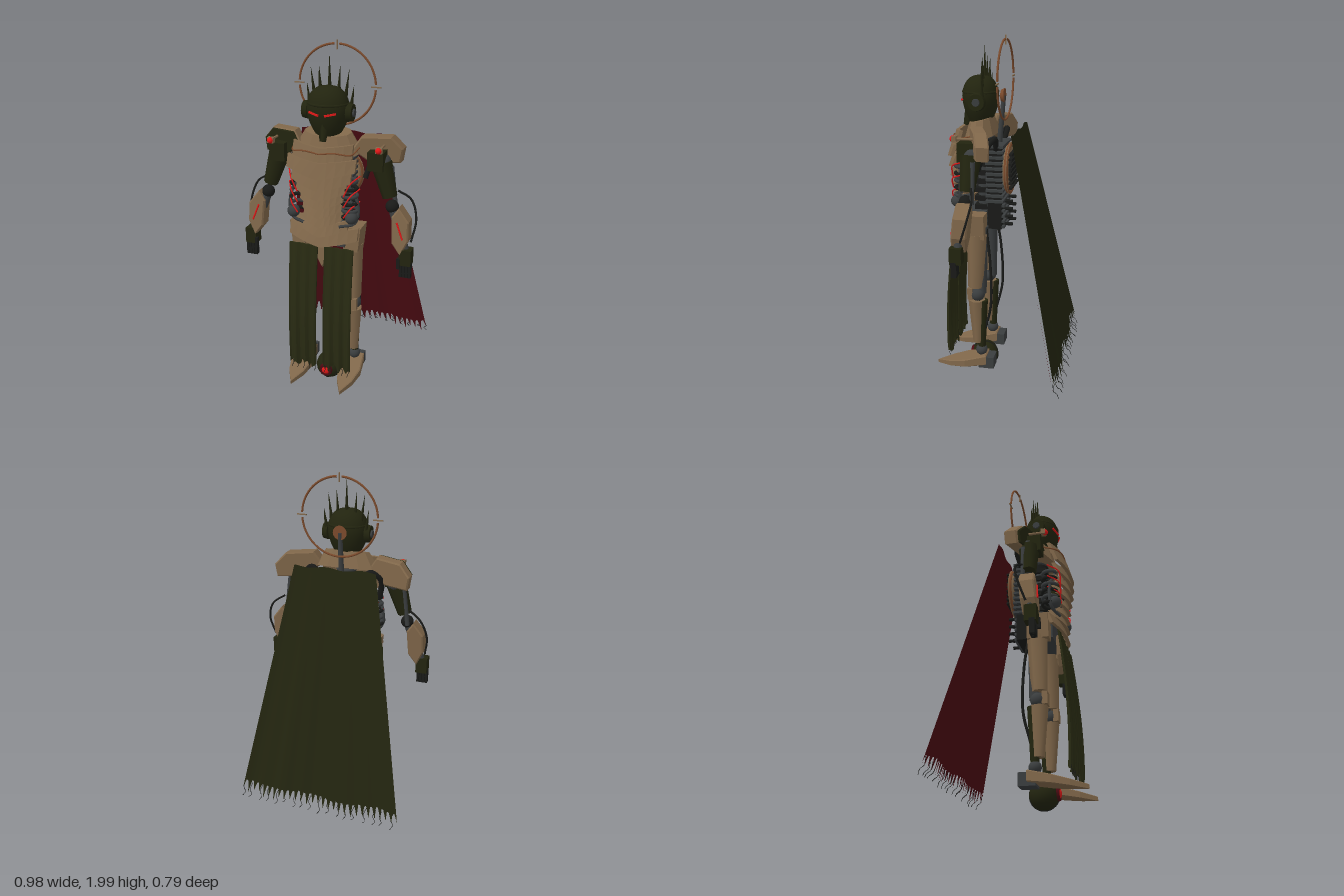
import * as THREE from 'three';

const mat = (name, color, side = THREE.FrontSide) => {
  const m = new THREE.MeshStandardMaterial({ color, side });
  m.name = name;
  return m;
};
const V = (x, y, z) => new THREE.Vector3(x, y, z);

export function createModel() {
  const bone = mat('bone armour', 0x80674a), olive = mat('dark olive', 0x22240f);
  const cloth = mat('olive cloth', 0x282a12), crimson = mat('crimson lining', 0x4a0b12);
  const steel = mat('steel grey', 0x3a3d3e), black = mat('black rubber', 0x191a18);
  const red = mat('glowing red', 0xe01818), copper = mat('copper', 0x7a4a2c);
  const root = new THREE.Group();

  let seed = 7;
  const rand = () => (seed = (seed * 16807) % 2147483647) / 2147483647;

  const add = (name, geo, m, x = 0, y = 0, z = 0, rx = 0, ry = 0, rz = 0) => {
    const o = new THREE.Mesh(geo, m);
    o.name = name;
    o.position.set(x, y, z);
    o.rotation.set(rx, ry, rz);
    root.add(o);
    return o;
  };
  const box = (w, h, d) => new THREE.BoxGeometry(w, h, d);
  const cyl = (a, b, h, n = 16) => new THREE.CylinderGeometry(a, b, h, n);
  const ball = (r) => new THREE.SphereGeometry(r, 20, 14);
  // Moves vertices by a rule and facets the result
  const warp = (geo, rule) => {
    const p = geo.attributes.position, v = V(0, 0, 0);
    for (let i = 0; i < p.count; i++) {
      rule(v.fromBufferAttribute(p, i));
      p.setXYZ(i, v.x, v.y, v.z);
    }
    const g = geo.index ? geo.toNonIndexed() : geo;
    g.computeVertexNormals();
    return g;
  };
  // Tapered rod between two points
  const rod = (name, a, b, ra, rb, m, n = 10) => {
    const d = b.clone().sub(a), o = add(name, cyl(rb, ra, d.length(), n), m);
    o.position.copy(a).addScaledVector(d, 0.5);
    o.quaternion.setFromUnitVectors(V(0, 1, 0), d.normalize());
    return o;
  };
  const hose = (name, pts, r, m, seg = 20) => add(name,
    new THREE.TubeGeometry(new THREE.CatmullRomCurve3(pts.map((p) => V(...p))), seg, r, 6), m);
  const slab = (pts, s, depth, bevel = 0.008) => new THREE.ExtrudeGeometry(
    new THREE.Shape(pts.map(([x, y]) => new THREE.Vector2(x * s, y))),
    { depth, bevelEnabled: bevel > 0, bevelSize: bevel, bevelThickness: bevel, bevelSegments: 1 });

  // Cape: crimson inside, olive outside, ragged hem
  const ROWS = 24, COLS = 84;
  const hem = Array.from({ length: COLS + 1 }, (_, i) => (i % 3 === 0 ? 0.035 : -0.012) * (0.6 + 0.8 * rand()));
  const capeLayer = (back) => {
    const g = new THREE.PlaneGeometry(2, 1, COLS, ROWS), p = g.attributes.position;
    for (let i = 0; i < p.count; i++) {
      const u = p.getX(i) * (back ? -1 : 1), col = Math.round((u + 1) * COLS / 2);
      const row = Math.floor(i / (COLS + 1)), v = row / ROWS + (row === ROWS ? hem[col] : 0);
      const fold = 0.008 * Math.sin(u * 8 + 1) * (0.3 + v) + 0.003 * Math.sin(u * 23) * v;
      p.setXYZ(i, u * (0.235 + 0.24 * v), 1.5 - 1.3 * v + 0.006 * Math.sin(u * 7),
        -0.05 - 0.285 * v + fold - (back ? 0.012 : 0));
    }
    g.computeVertexNormals();
    return g;
  };
  add('capeLining', capeLayer(false), crimson);
  add('capeOuter', capeLayer(true), olive);
  for (let i = 0; i < 18; i++) {
    const x = -0.46 + i * 0.054 + rand() * 0.02, z = -0.345 - rand() * 0.02;
    hose('capeThread', [[x, 0.21, -0.34], [x + 0.012, 0.17, z], [x - 0.006, 0.15, z - 0.015],
      [x + 0.008, 0.125 + rand() * 0.02, z - 0.028]], 0.0015, black, 8);
  }

  // Head and mask
  const skull = [[0, 1.5], [0.045, 1.505], [0.07, 1.54], [0.1, 1.6], [0.115, 1.67], [0.1, 1.735], [0.06, 1.777], [0, 1.79]]
    .map(([x, y]) => new THREE.Vector2(x, y));
  add('head', new THREE.LatheGeometry(new THREE.SplineCurve(skull).getPoints(24), 28), olive, 0, 0, 0.155).scale.z = 0.88;
  add('maskRidge', cyl(0.035, 0.018, 0.13, 4), olive, 0, 1.575, 0.222, -0.25);
  add('browBand', new THREE.TorusGeometry(0.106, 0.008, 6, 32), olive, 0, 1.7, 0.155, Math.PI / 2).scale.y = 0.9;
  for (const s of [1, -1]) {
    add('eye', box(0.062, 0.01, 0.008), red, s * 0.045, 1.657, 0.249, 0, s * 0.33, s * 0.18);
    add('earDisc', cyl(0.045, 0.05, 0.03, 16), olive, s * 0.122, 1.655, 0.15, 0, 0, -s * Math.PI / 2);
    add('earHub', cyl(0.02, 0.022, 0.012), steel, s * 0.14, 1.655, 0.15, 0, 0, -s * Math.PI / 2);
  }
  // Crown of spikes
  for (const [x, y, tx, ty, z] of [[0, 1.76, 0, 1.945, 0.13], [0.05, 1.75, 0.058, 1.885, 0.13], [0.085, 1.72, 0.105, 1.87, 0.125], [0.115, 1.68, 0.13, 1.79, 0.12]])
    for (const s of x ? [1, -1] : [1]) rod('crownSpike', V(s * x, y, z), V(s * tx, ty, z), 0.011, 0.0005, olive, 6);

  // Halo: three arcs with bars in the gaps
  for (const [a, l] of [[0.06, 1.45], [1.63, 1.45], [3.2, 3.02]])
    add('haloArc', new THREE.TorusGeometry(0.215, 0.006, 8, 48, l), copper, 0, 1.765, 0.015, 0, 0, a);
  add('haloBarTop', box(0.006, 0.05, 0.008), bone, 0, 1.975, 0.015);
  for (const s of [1, -1]) add('haloBarSide', box(0.055, 0.006, 0.008), bone, s * 0.217, 1.765, 0.015);
  add('haloMount', cyl(0.03, 0.04, 0.02), copper, 0, 1.68, 0.03, Math.PI / 2);
  rod('haloStem', V(0, 1.68, 0.025), V(0, 1.42, 0.05), 0.012, 0.016, steel);

  // Neck, collar and spine
  for (let i = 0; i < 5; i++) add('neckRing', new THREE.TorusGeometry(0.05, 0.011, 8, 20), steel, 0, 1.45 + i * 0.02, 0.14, Math.PI / 2);
  add('neckCore', cyl(0.045, 0.05, 0.14), black, 0, 1.48, 0.14);
  add('collar', warp(cyl(0.13, 0.19, 0.1, 12), (v) => { v.z *= 0.5; v.y += v.z * -0.25; }), bone, 0, 1.5, 0.15);
  add('spine', cyl(0.035, 0.035, 0.5, 10), steel, 0, 1.2, 0.14);
  for (let i = 0; i < 9; i++) add('vertebra', box(0.1, 0.028, 0.09), black, 0, 1.0 + i * 0.05, 0.14);

  // Overlapping V-shaped chest and belly plates: y, half width, height, front z
  const plates = [[1.46, 0.165, 0.1, 0.275], [1.395, 0.19, 0.085, 0.3], [1.33, 0.165, 0.08, 0.3], [1.27, 0.14, 0.072, 0.296],
    [1.215, 0.12, 0.068, 0.288], [1.16, 0.11, 0.065, 0.28], [1.105, 0.11, 0.065, 0.274], [1.05, 0.14, 0.065, 0.27], [1.0, 0.195, 0.085, 0.266]];
  for (const [y, w, h, z] of plates)
    add('torsoPlate', warp(new THREE.BoxGeometry(2 * w, h, 0.02, 8, 1, 1), (v) => {
      const u = Math.abs(v.x / w);
      v.z += 0.016 - 0.055 * u * u - (v.y / h) * 0.024;
      v.y = v.y * (1 - 0.25 * u) - 0.03 * (1 - u);
    }), bone, 0, y + 0.01, z);
  add('groinPlate', slab([[-0.04, 0.96], [0.04, 0.96], [0.025, 0.86], [0, 0.81], [-0.025, 0.86]], 1, 0.02), bone, 0, 0, 0.24);
  add('pelvisCore', box(0.24, 0.11, 0.12), steel, 0, 0.98, 0.17);

  // Loincloth panels with folds and torn hem
  for (const s of [1, -1]) {
    const tear = Array.from({ length: 19 }, () => (rand() - 0.3) * 0.05);
    add('loincloth', warp(new THREE.BoxGeometry(0.165, 0.76, 0.01, 18, 14, 1), (v) => {
      const t = 0.5 - v.y / 0.76, c = Math.round((v.x / 0.165 + 0.5) * 18);
      v.z += 0.275 + 0.045 * Math.sin(t * 2) + 0.007 * Math.sin(v.x * 110) * (0.4 + t);
      if (t > 0.99) v.y += tear[c];
    }), cloth, s * 0.102, 0.555, 0);
    for (let i = 0; i < 5; i++) {
      const x = s * 0.1 + (i - 2) * 0.035;
      hose('clothThread', [[x, 0.2, 0.316], [x + 0.005, 0.175, 0.32], [x - 0.003, 0.15, 0.322]], 0.0015, black, 6);
    }
  }

  // Backpack with cooling fins and a round cover
  add('packCore', box(0.2, 0.48, 0.08), black, 0, 1.18, 0.06);
  for (let i = 0; i < 16; i++) add('packFin', box(i < 5 ? 0.18 : 0.24, 0.014, 0.1), steel, 0, 0.95 + i * 0.031, 0.055);
  add('packCover', cyl(0.15, 0.13, 0.025, 28), bone, 0, 1.275, -0.005, -Math.PI / 2);
  add('packRim', new THREE.TorusGeometry(0.135, 0.012, 8, 32), copper, 0, 1.275, -0.012);
  add('packHub', cyl(0.08, 0.09, 0.02, 20), black, 0, 1.275, -0.022, Math.PI / 2);
  for (let i = 0; i < 8; i++) add('hubPeg', box(0.2, 0.01, 0.02), black, 0, 1.18 + i * 0.027, -0.03);
  for (let i = 0; i < 4; i++) for (const s of [1, -1]) add('packPeg', cyl(0.01, 0.01, 0.06, 8), black, s * 0.05, 0.96 + i * 0.045, -0.005, Math.PI / 2);

  for (const s of [1, -1]) {
    // Flank machinery: dark coils and red wires
    for (let i = 0; i < 6; i++)
      add('ribCoil', new THREE.TorusGeometry(0.042, 0.01, 6, 16, Math.PI * 1.4), i % 2 ? steel : black, s * (0.15 - 0.002 * i), 1.11 + i * 0.04, 0.225, Math.PI / 2, 0, s > 0 ? -1.6 : 1.9);
    add('waistJoint', ball(0.035), steel, s * 0.165, 1.115, 0.255);
    for (let i = 0; i < 3; i++)
      hose('redWire', [[s * 0.2, 1.34 - i * 0.07, 0.22], [s * 0.165, 1.31 - i * 0.07, 0.28], [s * 0.13, 1.24 - i * 0.06, 0.285]], 0.004, red);
    hose('waistHose', [[s * 0.12, 1.32, 0.25], [s * 0.19, 1.2, 0.23], [s * 0.18, 1.08, 0.24], [s * 0.1, 1.06, 0.27]], 0.009, steel);
    hose('shoulderHose', [[s * 0.1, 1.4, 0.05], [s * 0.17, 1.47, 0.04], [s * 0.22, 1.42, 0.08], [s * 0.2, 1.3, 0.13]], 0.016, black);
    hose('collarCord', [[s * 0.18, 1.48, 0.17], [s * 0.16, 1.46, 0.26], [s * 0.08, 1.47, 0.29], [0, 1.46, 0.295]], 0.004, copper);

    // Swept-back shoulder armour; the right one has an olive face
    const pts = [[0.15, 1.47], [0.19, 1.53], [0.33, 1.525], [0.385, 1.465], [0.375, 1.4], [0.24, 1.4]];
    const sweep = (v) => { v.z += 0.125 - (Math.abs(v.x) - 0.13) * 0.38; };
    add('shoulderArmour', warp(slab(pts, s, 0.06), sweep), bone);
    if (s < 0) add('shoulderFace', warp(slab(pts, s, 0.006, 0.004), sweep), olive, 0, 0, 0.072);
    add('shoulderBlock', box(0.085, 0.1, 0.09), olive, s * 0.275, 1.42, 0.165);
    rod('lampStem', V(s * 0.3, 1.49, 0.12), V(s * 0.3, 1.49, 0.225), 0.007, 0.007, bone);
    add('lampCase', box(0.036, 0.03, 0.025), bone, s * 0.3, 1.49, 0.225);
    add('shoulderLamp', ball(0.017), red, s * 0.3, 1.49, 0.234);

    // Arm
    add('shoulderJoint', ball(0.05), steel, s * 0.29, 1.4, 0.13);
    rod('upperArm', V(s * 0.29, 1.4, 0.14), V(s * 0.345, 1.22, 0.15), 0.058, 0.04, olive, 8);
    rod('armPiston', V(s * 0.34, 1.38, 0.12), V(s * 0.37, 1.16, 0.12), 0.014, 0.012, steel);
    add('elbow', ball(0.036), black, s * 0.36, 1.17, 0.155);
    rod('forearmCore', V(s * 0.36, 1.17, 0.155), V(s * 0.445, 0.93, 0.18), 0.025, 0.025, steel);
    add('forearmArmour', warp(slab([[0.375, 1.12], [0.405, 1.165], [0.455, 1.1], [0.458, 1.0], [0.425, 0.925], [0.385, 0.98]], s, 0.07),
      (v) => { v.z += 0.125 + (1.1 - v.y) * 0.1; }), bone);
    rod('forearmStripe', V(s * 0.40, 1.1, 0.206), V(s * 0.435, 1.01, 0.215), 0.005, 0.005, red, 6);
    hose('elbowHose', [[s * 0.38, 1.25, 0.12], [s * 0.45, 1.2, 0.1], [s * 0.485, 1.1, 0.12], [s * 0.47, 0.98, 0.16]], 0.006, black);
    add('hand', box(0.065, 0.09, 0.065), olive, s * 0.453, 0.905, 0.185);
    for (let i = 0; i < 4; i++) add('finger', box(0.014, 0.085, 0.03), black, s * (0.43 + i * 0.0165), 0.83, 0.195);
    add('thumb', box(0.016, 0.06, 0.02), black, s * 0.418, 0.87, 0.215);

    // Leg
    add('hipPlate', warp(box(0.1, 0.14, 0.12), (v) => { if (v.y < 0) v.x *= 0.7; }), bone, s * 0.155, 0.97, 0.16);
    rod('thighCore', V(s * 0.12, 0.96, 0.13), V(s * 0.14, 0.56, 0.13), 0.04, 0.03, steel);
    rod('thighArmour', V(s * 0.14, 0.92, 0.15), V(s * 0.15, 0.6, 0.16), 0.06, 0.045, bone, 7);
    add('knee', ball(0.042), steel, s * 0.15, 0.555, 0.15);
    add('kneeCap', box(0.06, 0.07, 0.03), bone, s * 0.15, 0.56, 0.19);
    rod('shinArmour', V(s * 0.15, 0.52, 0.155), V(s * 0.15, 0.25, 0.15), 0.05, 0.03, bone, 7);
    rod('calf', V(s * 0.15, 0.52, 0.12), V(s * 0.15, 0.18, 0.13), 0.03, 0.022, olive);
    add('ankle', ball(0.034), steel, s * 0.15, 0.2, 0.13);
    hose('legHose', [[s * 0.13, 0.95, 0.1], [s * 0.15, 0.75, 0.075], [s * 0.16, 0.5, 0.07], [s * 0.15, 0.32, 0.11]], 0.008, black);

    // Pointed foot and heel block
    const foot = slab([[0.105, 0.1], [0.195, 0.1], [0.21, 0.22], [0.19, 0.31], [0.15, 0.392], [0.11, 0.31], [0.09, 0.22]], s, 0.05, 0.006);
    add('foot', warp(foot.rotateX(Math.PI / 2), (v) => {
      const t = (v.z - 0.1) / 0.3;
      v.y = v.y * (1 - 0.6 * t) + 0.175 - 0.075 * t;
    }), bone);
    add('heel', box(0.09, 0.07, 0.09), steel, s * 0.15, 0.135, 0.095);
  }

  // Hovering orb with a red lens
  add('orb', ball(0.08), olive, 0, 0.092, 0.145);
  add('orbBand', new THREE.TorusGeometry(0.08, 0.004, 6, 32), black, 0, 0.092, 0.145, 0, Math.PI / 2);
  add('lensRing', cyl(0.036, 0.042, 0.02, 20), crimson, 0, 0.095, 0.217, Math.PI / 2);
  add('lens', ball(0.026), red, 0, 0.095, 0.22).scale.z = 0.6;
  return root;
}
